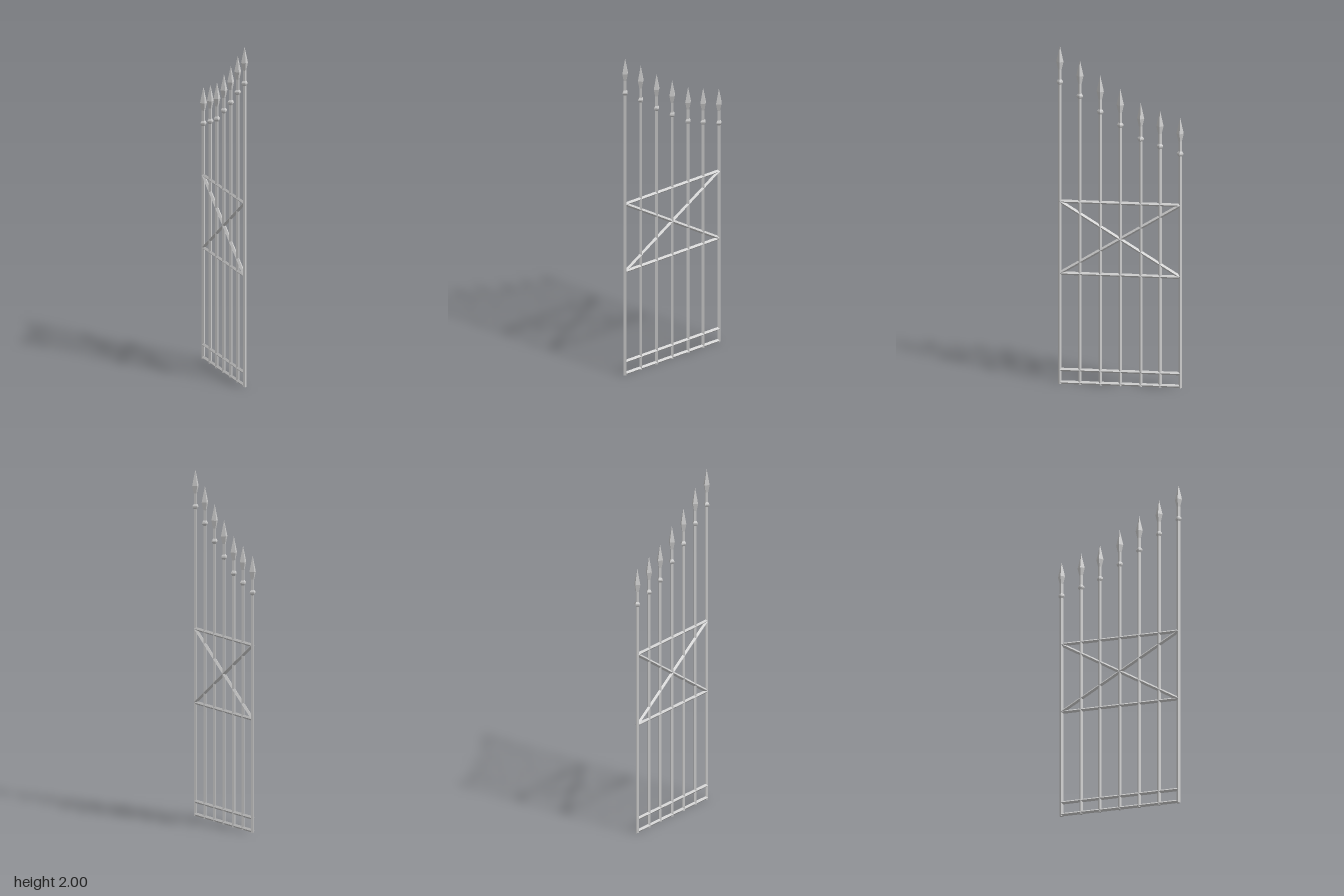
import * as THREE from 'three';

const R = 0.0105; // bar radius, diamond section

export function createModel() {
  const gate = new THREE.Group();
  gate.name = 'gate';
  const iron = new THREE.MeshStandardMaterial({ color: 0xcccccc, flatShading: true });

  const add = (name, geometry, parent = gate) => {
    const mesh = new THREE.Mesh(geometry, iron);
    mesh.name = name;
    parent.add(mesh);
    return mesh;
  };
  // four-sided turned shape from [radius, y] pairs
  const turned = (pts) => new THREE.LatheGeometry(pts.map(([r, y]) => new THREE.Vector2(r, y)), 4);

  // spearhead and collar, measured down from the tip
  const headGeo = turned([[0, -0.145], [R, -0.14], [0.021, -0.095], [0, 0]]);
  const collarGeo = turned([[R, -0.23], [0.0185, -0.219], [0.0185, -0.211], [R, -0.2]]);

  // straight bar between two [y, z] points
  const rail = (name, [y0, z0], [y1, z1]) => {
    const dy = y1 - y0, dz = z1 - z0;
    const mesh = add(name, new THREE.CylinderGeometry(R, R, Math.hypot(dy, dz), 4));
    mesh.position.set(0, (y0 + y1) / 2, (z0 + z1) / 2);
    mesh.rotation.x = Math.atan2(dz, dy);
  };

  // upright pickets, stepping down from front to back: [z, tip height]
  const pickets = [
    [0.346, 2.0], [0.231, 1.92], [0.114, 1.832], [-0.001, 1.757],
    [-0.118, 1.68], [-0.229, 1.64], [-0.345, 1.6],
  ];
  for (const [z, tip] of pickets) {
    const picket = new THREE.Group();
    picket.name = 'picket';
    picket.position.z = z;
    gate.add(picket);
    const h = tip - 0.13;
    add('pole', new THREE.CylinderGeometry(R, R, h, 4), picket).position.y = h / 2;
    add('spearhead', headGeo, picket).position.y = tip;
    add('collar', collarGeo, picket).position.y = tip;
  }

  // horizontal rails
  const top = 1.08, mid = 0.655, end = 0.346;
  for (const y of [R, 0.085, mid, top]) rail('rail', [y, -end], [y, end]);

  // crossed braces between the two upper rails
  rail('brace', [mid, -end], [top, end]);
  rail('brace', [mid, end], [top, -end]);

  return gate;
}
